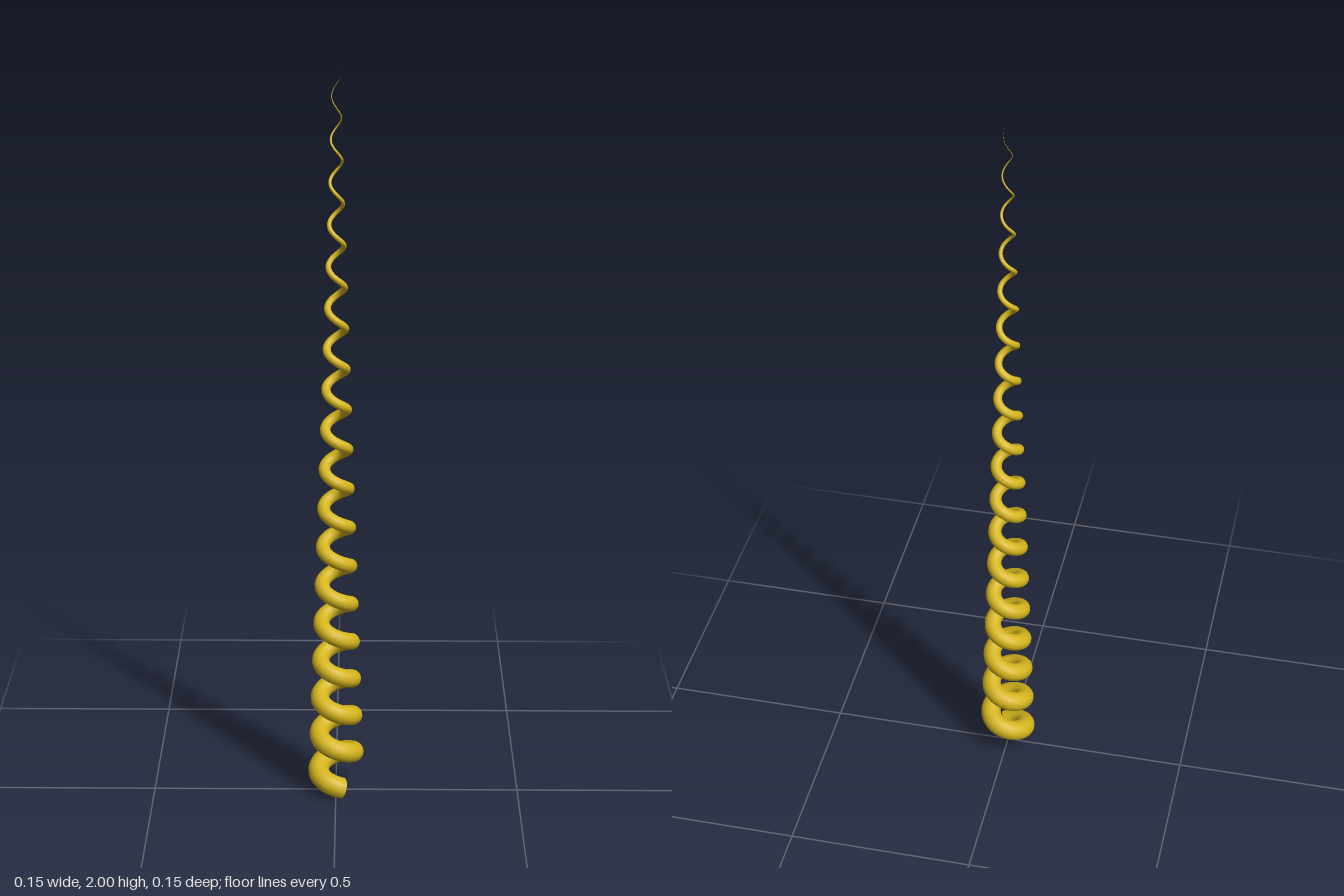
import * as THREE from 'three';

const START = -0.055, END = 17.86, PITCH = 0.11; // turns, height per turn
const TUBE_RADIUS = 0.029;

// Helix that narrows towards the top
class TaperedHelix extends THREE.Curve {
  getPoint(u, target = new THREE.Vector3()) {
    const turn = THREE.MathUtils.lerp(START, END, u);
    const angle = turn * Math.PI * 2;
    const r = THREE.MathUtils.lerp(0.0495, 0.0105, u);
    return target.set(0.001 - r * Math.sin(angle), 0.035 + PITCH * turn, r * Math.cos(angle) - 0.001);
  }
  // Turns are spaced by angle rather than by length
  getPointAt(u, target) { return this.getPoint(u, target); }
  getTangentAt(u, target) { return this.getTangent(u, target); }
}

export function createModel() {
  const model = new THREE.Group();
  const material = new THREE.MeshStandardMaterial({ color: 0xd4b41c });
  const helix = new TaperedHelix();

  // Spiral tube, each ring shrunk about the path down to a fine tip
  const segments = 540, sides = 16;
  const geometry = new THREE.TubeGeometry(helix, segments, TUBE_RADIUS, sides, false);
  const pos = geometry.attributes.position;
  const centre = new THREE.Vector3(), v = new THREE.Vector3();
  for (let i = 0; i <= segments; i++) {
    const u = i / segments;
    helix.getPoint(u, centre);
    for (let j = 0; j <= sides; j++) {
      const k = i * (sides + 1) + j;
      v.fromBufferAttribute(pos, k).sub(centre).multiplyScalar(Math.max(1 - u, 0.005)).add(centre);
      pos.setXYZ(k, v.x, v.y, v.z);
    }
  }
  const coil = new THREE.Mesh(geometry, material);
  coil.name = 'spiralCoil';
  model.add(coil);

  // Flat disc closing the thick lower end
  const cap = new THREE.Mesh(new THREE.CircleGeometry(TUBE_RADIUS, 32), material);
  cap.name = 'lowerEndCap';
  cap.position.copy(helix.getPoint(0));
  cap.quaternion.setFromUnitVectors(new THREE.Vector3(0, 0, 1), helix.getTangent(0).negate());
  model.add(cap);

  return model;
}
